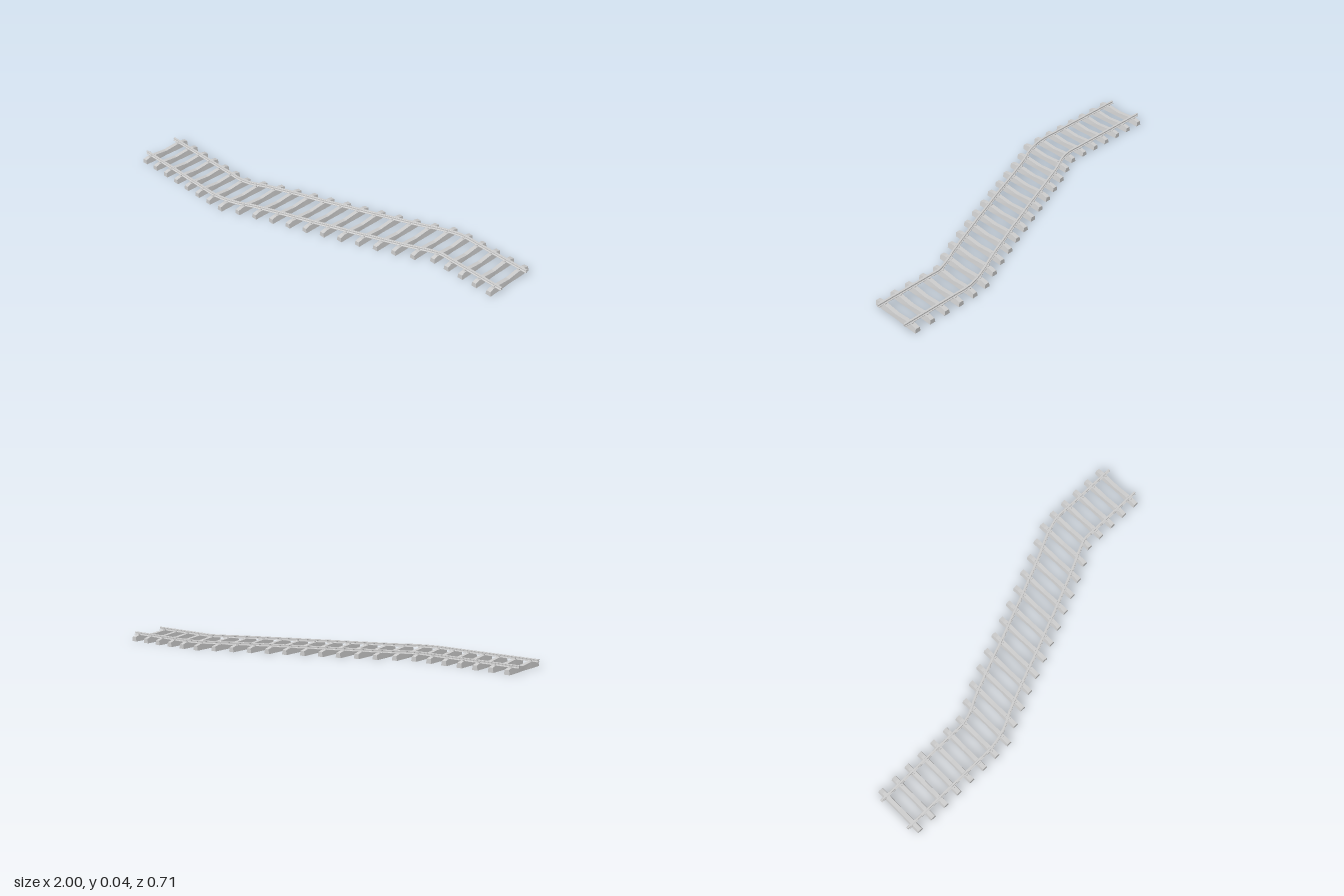
import * as THREE from 'three';
import { toCreasedNormals } from 'three/addons/utils/BufferGeometryUtils.js';

const HALF_GAUGE = 0.09;
const SPACING = 0.0837;

// Sideways position of the track centre at each sleeper
const CENTRES = [
  0.222, 0.222, 0.222, 0.222, 0.222, 0.222, 0.221, 0.2, 0.158, 0.123, 0.089, 0.057,
  0.024, -0.011, -0.044, -0.08, -0.115, -0.152, -0.192, -0.221, -0.222, -0.222, -0.222, -0.222,
];
const sleeperX = (i) => (i - (CENTRES.length - 1) / 2) * SPACING;

// Concrete sleeper: sloping ends, flat rail seats, dipped and narrower middle
function sleeperGeometry() {
  const stations = [ // z, top height, half width at base, half width at top
    [-0.135, 0.023, 0.015, 0.011],
    [-0.112, 0.029, 0.015, 0.010],
    [-0.07, 0.029, 0.015, 0.010],
    [0, 0.022, 0.013, 0.010],
    [0.07, 0.029, 0.015, 0.010],
    [0.112, 0.029, 0.015, 0.010],
    [0.135, 0.023, 0.015, 0.011],
  ];
  const n = stations.length - 1;
  const geo = new THREE.BoxGeometry(1, 1, 1, 1, 1, n);
  const p = geo.attributes.position;
  for (let i = 0; i < p.count; i++) {
    const [z, top, base, crown] = stations[Math.round((p.getZ(i) + 0.5) * n)];
    const upper = p.getY(i) > 0;
    p.setXYZ(i, Math.sign(p.getX(i)) * (upper ? crown : base), upper ? top : 0, z);
  }
  geo.computeVertexNormals();
  return geo;
}

// Flat-bottomed rail section, swept along the centre line at a sideways offset
function railGeometry(path, offset) {
  const half = [
    [0.0075, 0.027], [0.0075, 0.029], [0.002, 0.031],
    [0.002, 0.036], [0.005, 0.037], [0.005, 0.040], [0.004, 0.041],
  ];
  const outline = [...half, ...half.map(([x, y]) => [-x, y]).reverse()];
  const shape = new THREE.Shape(outline.map(([x, y]) => new THREE.Vector2(x, y)));
  const geo = new THREE.ExtrudeGeometry(shape, { depth: 1, steps: 100, bevelEnabled: false });
  const p = geo.attributes.position;
  for (let i = 0; i < p.count; i++) {
    const t = THREE.MathUtils.clamp(p.getZ(i), 0, 1);
    const c = path.getPoint(t);
    const d = path.getTangent(t);
    const side = offset - p.getX(i);
    p.setXYZ(i, c.x - d.z * side, p.getY(i), c.z + d.x * side);
  }
  return toCreasedNormals(geo, 0.5);
}

export function createModel() {
  const track = new THREE.Group();
  track.name = 'railwayTrack';
  const flat = new THREE.MeshStandardMaterial({ color: 0xcccccc, flatShading: true });
  const smooth = new THREE.MeshStandardMaterial({ color: 0xcccccc });

  const last = CENTRES.length - 1;
  const path = new THREE.CatmullRomCurve3([
    new THREE.Vector3(-1, 0, CENTRES[0]),
    ...CENTRES.map((z, i) => new THREE.Vector3(sleeperX(i), 0, z)),
    new THREE.Vector3(1, 0, CENTRES[last]),
  ]);

  // Two running rails
  for (const [name, side] of [['frontRail', 1], ['backRail', -1]]) {
    const rail = new THREE.Mesh(railGeometry(path, side * HALF_GAUGE), smooth);
    rail.name = name;
    track.add(rail);
  }

  // Sleepers stay square to x and grow longer along the diagonal
  const sleeperGeo = sleeperGeometry();
  const clipGeo = new THREE.BoxGeometry(0.009, 0.006, 0.007);
  CENTRES.forEach((z, i) => {
    const unit = new THREE.Group();
    unit.name = `sleeperUnit${i + 1}`;
    unit.position.set(sleeperX(i), 0, z);

    const sleeper = new THREE.Mesh(sleeperGeo, flat);
    sleeper.name = 'sleeper';
    sleeper.scale.z = i >= 7 && i <= 18 ? 1.13 : 1;
    unit.add(sleeper);

    // Rail clips on both sides of each rail
    const d = path.getTangent((i + 1) / (last + 2));
    for (const rail of [-1, 1]) {
      for (const side of [-1, 1]) {
        const clip = new THREE.Mesh(clipGeo, flat);
        clip.name = 'railClip';
        clip.position.set(0, 0.03, (rail * HALF_GAUGE + side * 0.01) / d.x);
        clip.rotation.y = -Math.atan2(d.z, d.x);
        unit.add(clip);
      }
    }
    track.add(unit);
  });

  return track;
}
